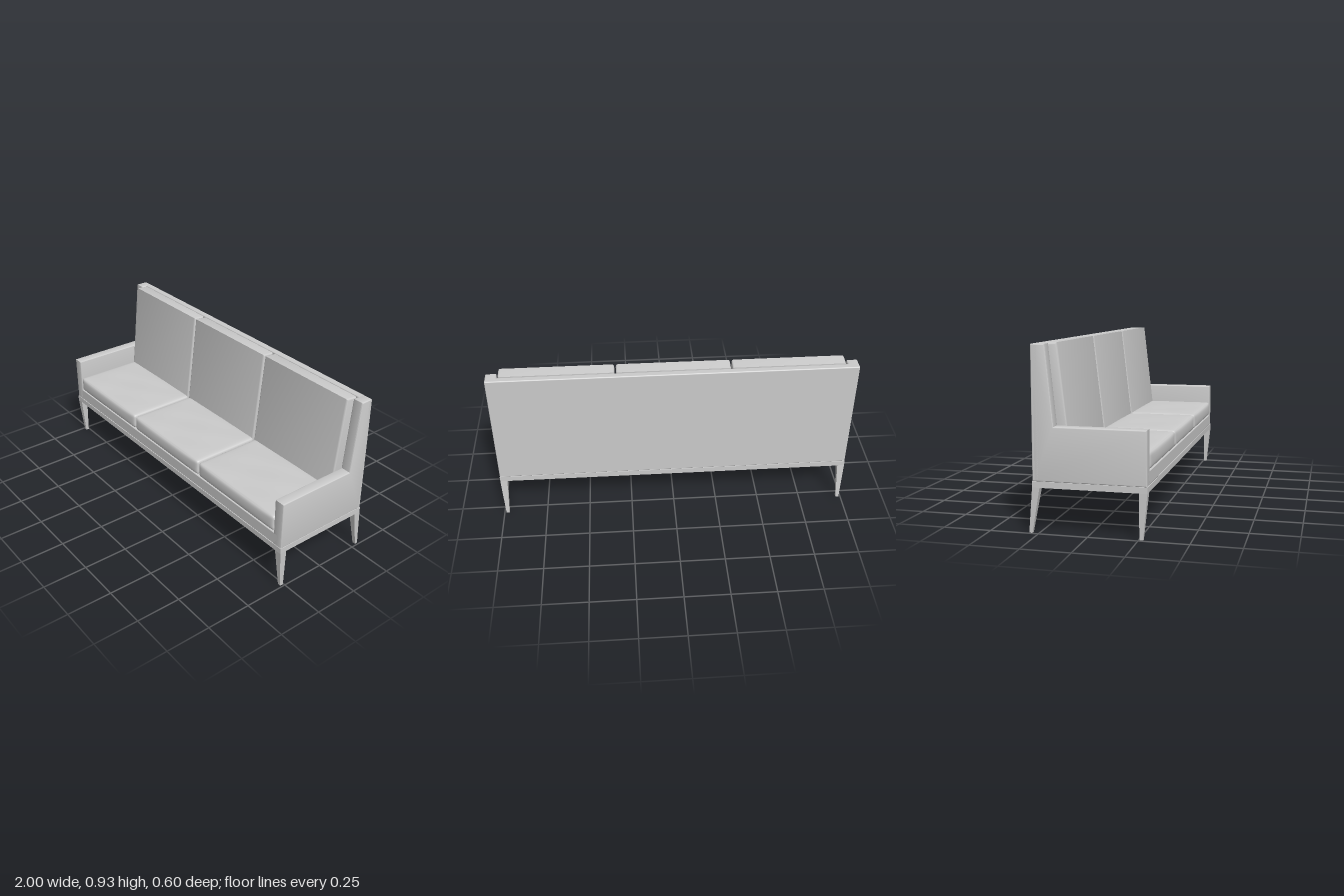
import * as THREE from 'three';
import { mergeVertices, toCreasedNormals } from 'three/addons/utils/BufferGeometryUtils.js';
import { RoundedBoxGeometry } from 'three/addons/geometries/RoundedBoxGeometry.js';

const material = new THREE.MeshStandardMaterial({ color: 0xcccccc });

function add(parent, name, geometry, x = 0, y = 0, z = 0) {
  const mesh = new THREE.Mesh(geometry, material);
  mesh.name = name;
  mesh.position.set(x, y, z);
  parent.add(mesh);
  return mesh;
}

// Box given by its limits; a radius rounds its edges
function block(parent, name, [x0, x1], [y0, y1], [z0, z1], radius = 0) {
  const size = [x1 - x0, y1 - y0, z1 - z0];
  const geometry = radius ? new RoundedBoxGeometry(...size, 2, radius) : new THREE.BoxGeometry(...size);
  return add(parent, name, geometry, (x0 + x1) / 2, (y0 + y1) / 2, (z0 + z1) / 2);
}

// Side profile of (z, y) points, extruded across x with softened edges
function sidewaysSlab(points, width, bevel) {
  const shape = new THREE.Shape(points.map(([z, y]) => new THREE.Vector2(z, y)));
  const geometry = new THREE.ExtrudeGeometry(shape, {
    depth: width - 2 * bevel, bevelSize: bevel, bevelThickness: bevel, bevelOffset: -bevel, bevelSegments: 3,
  });
  geometry.translate(0, 0, bevel - width / 2).rotateY(-Math.PI / 2);
  return toCreasedNormals(geometry, 0.6);
}

// Rounded box with a softly crowned top and a bulging front
function seatCushion(width, height, depth, radius) {
  let geometry = new THREE.BoxGeometry(2, 2, 2, 24, 12, 20);
  geometry.deleteAttribute('normal');
  geometry.deleteAttribute('uv');
  geometry = mergeVertices(geometry);
  const half = new THREE.Vector3(width / 2, height / 2, depth / 2);
  const inner = half.clone().subScalar(radius);
  const pos = geometry.attributes.position;
  const p = new THREE.Vector3(), core = new THREE.Vector3();
  const ease = (t) => Math.sin(t * Math.PI / 2);
  for (let i = 0; i < pos.count; i++) {
    p.fromBufferAttribute(pos, i);
    p.set(ease(p.x), ease(p.y), ease(p.z));
    const [u, v, w] = p.toArray();
    p.multiply(half);
    core.copy(p).clamp(inner.clone().negate(), inner);
    p.sub(core).setLength(radius).add(core);
    const crown = (1 - u ** 4) * (1 - w ** 4);
    if (v > 0) p.y += v * (0.006 * crown + 0.002 * crown * Math.sin(5 * u + 2 * w) * Math.cos(4 * w));
    if (w > 0) p.z += 0.006 * w * (1 - u ** 4) * (1 - v * v);
    pos.setXYZ(i, p.x, p.y, p.z);
  }
  geometry.computeVertexNormals();
  return geometry;
}

// Tapered leg between a top and a bottom rectangle, for the +x side
function legGeometry(top, bottom, height, side) {
  const geometry = new THREE.BoxGeometry(1, 1, 1).toNonIndexed();
  const pos = geometry.attributes.position;
  for (let i = 0; i < pos.count; i++) {
    const [x, z] = pos.getY(i) > 0 ? top : bottom;
    const outer = pos.getX(i) * side > 0 ? 1 : 0;
    pos.setXYZ(i, side * x[outer], pos.getY(i) > 0 ? height : 0, z[pos.getZ(i) > 0 ? 1 : 0]);
  }
  geometry.computeVertexNormals();
  return geometry;
}

export function createModel() {
  const sofa = new THREE.Group();
  sofa.name = 'sofa';

  // Base frame: four rails, open underneath
  const frame = new THREE.Group();
  frame.name = 'baseFrame';
  sofa.add(frame);
  block(frame, 'frontApron', [-1, 1], [0.23, 0.261], [0.255, 0.296]);
  block(frame, 'backApron', [-1, 1], [0.23, 0.261], [-0.278, -0.24]);
  for (const s of [-1, 1]) {
    const xs = s > 0 ? [0.96, 1] : [-1, -0.96];
    block(frame, 'sideApron', xs, [0.23, 0.261], [-0.24, 0.255]);
    const top = [0.96, 1], foot = [0.972, 0.99];
    add(frame, 'frontLeg', legGeometry([top, [0.255, 0.296]], [foot, [0.255, 0.273]], 0.231, s));
    add(frame, 'backLeg', legGeometry([top, [-0.278, -0.24]], [foot, [-0.3, -0.283]], 0.231, s));
  }

  // Upholstered shell
  block(sofa, 'frontRail', [-0.97, 0.97], [0.261, 0.328], [0.25, 0.293], 0.003);
  block(sofa, 'seatDeck', [-0.95, 0.95], [0.315, 0.326], [-0.25, 0.27]);
  block(sofa, 'backPanel', [-1, 1], [0.261, 0.927], [-0.277, -0.24], 0.006);
  const armProfile = [[0.293, 0.261], [0.293, 0.531], [-0.165, 0.531], [-0.205, 0.927], [-0.27, 0.927], [-0.27, 0.261]];
  for (const s of [-1, 1]) add(sofa, 'armPanel', sidewaysSlab(armProfile, 0.06, 0.006), s * 0.97);

  // Three seat and back cushions
  const backProfile = [[-0.096, 0.335], [-0.165, 0.932], [-0.234, 0.926], [-0.234, 0.335]];
  for (const x of [-0.626, 0, 0.626]) {
    add(sofa, 'seatCushion', seatCushion(0.618, 0.09, 0.415, 0.018), x, 0.375, 0.087);
    add(sofa, 'backCushion', sidewaysSlab(backProfile, 0.618, 0.01), x);
  }
  return sofa;
}
